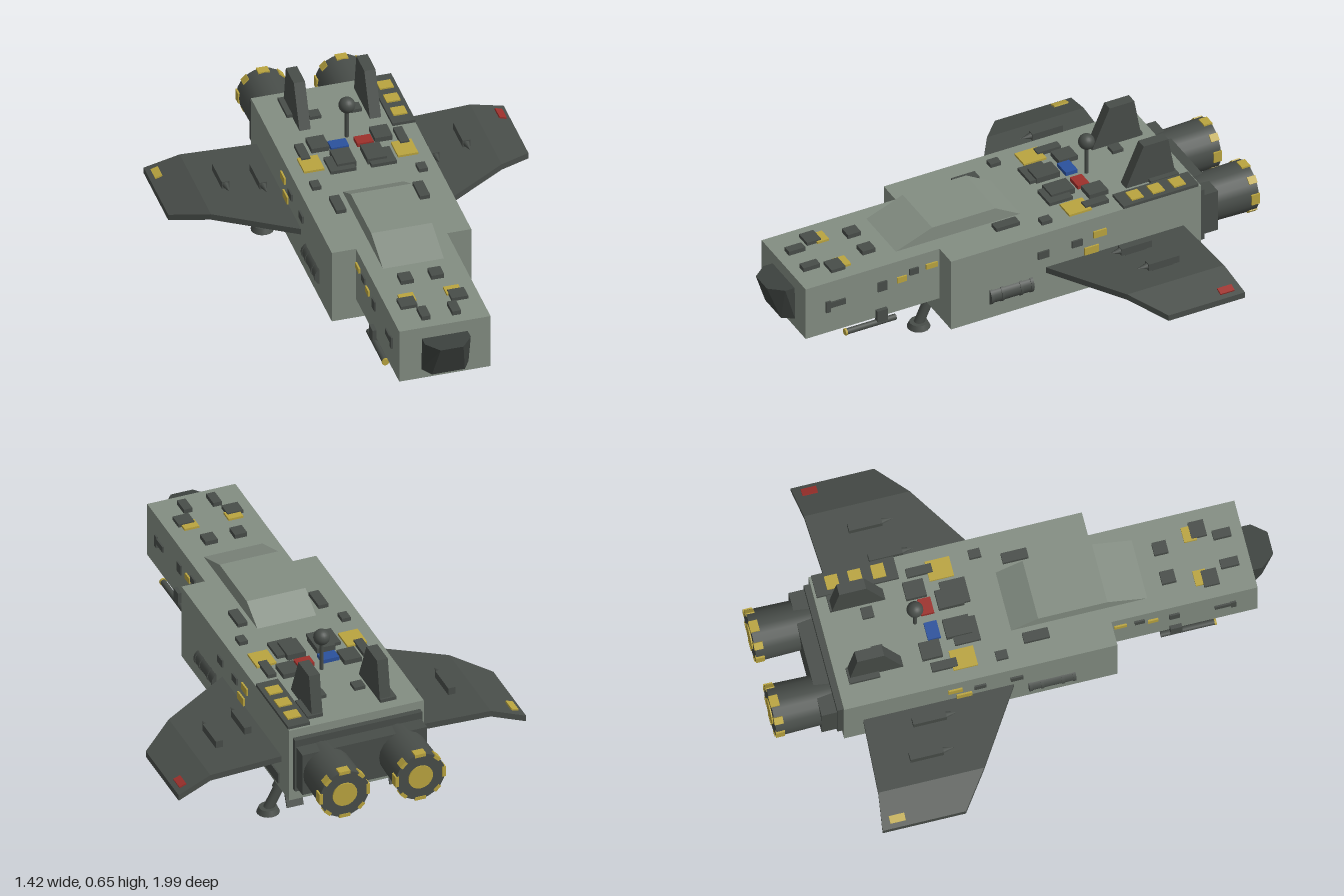
import * as THREE from 'three';

export function createModel() {
  const model = new THREE.Group();
  const material = (name, color) => {
    const m = new THREE.MeshStandardMaterial({ color });
    m.name = name;
    return m;
  };
  const hull = material('hull grey green', 0x838d82);
  const dark = material('dark grey', 0x484d49);
  const glass = material('window grey', 0x3c413e);
  const yellow = material('yellow', 0xb9a43f);
  const red = material('red', 0x9c302b);
  const blue = material('blue', 0x2b519c);

  const add = (name, geometry, mat, x = 0, y = 0, z = 0) => {
    const mesh = new THREE.Mesh(geometry, mat);
    mesh.name = name;
    mesh.position.set(x, y, z);
    model.add(mesh);
    return mesh;
  };
  const box = (name, mat, w, h, d, x, y, z) =>
    add(name, new THREE.BoxGeometry(w, h, d), mat, x, y, z);
  // cylinder whose top points to the front
  const rod = (name, mat, rFront, rBack, length, x, y, z, sides = 16) => {
    const g = new THREE.CylinderGeometry(rFront, rBack, length, sides).rotateX(Math.PI / 2);
    return add(name, g, mat, x, y, z);
  };
  // cylinder between two points
  const strut = (name, mat, radius, a, b) => {
    const from = new THREE.Vector3(...a), to = new THREE.Vector3(...b);
    const dir = to.clone().sub(from);
    const mesh = add(name, new THREE.CylinderGeometry(radius, radius, dir.length(), 12), mat);
    mesh.position.copy(from).add(to).multiplyScalar(0.5);
    mesh.quaternion.setFromUnitVectors(new THREE.Vector3(0, 1, 0), dir.normalize());
    return mesh;
  };
  // flat-faced skin over a row of cross-sections, with both ends closed
  const loft = (sections) => {
    const out = [];
    const tri = (a, b, c) => out.push(...a, ...b, ...c);
    const n = sections[0].length;
    for (let s = 0; s < sections.length - 1; s++) {
      const a = sections[s], b = sections[s + 1];
      for (let i = 0; i < n; i++) {
        const j = (i + 1) % n;
        tri(a[i], a[j], b[j]);
        tri(a[i], b[j], b[i]);
      }
    }
    const first = sections[0], last = sections[sections.length - 1];
    for (let i = 1; i < n - 1; i++) {
      tri(first[0], first[i + 1], first[i]);
      tri(last[0], last[i], last[i + 1]);
    }
    const g = new THREE.BufferGeometry();
    g.setAttribute('position', new THREE.Float32BufferAttribute(out, 3));
    g.computeVertexNormals();
    return g;
  };
  // side profile of [z, y] points, spread from x0 to x1
  const slab = (points, x0, x1) =>
    loft([x0, x1].map((x) => points.map(([z, y]) => [x, y, z])));

  // Fuselage
  box('mainHull', hull, 0.55, 0.315, 1.065, 0, 0.3175, -0.1975);
  box('noseHull', hull, 0.36, 0.23, 0.57, 0, 0.36, 0.62);
  add('canopy', slab([[0.49, 0.475], [-0.04, 0.475], [0.065, 0.535], [0.335, 0.535]], -0.12, 0.12), hull);
  add('noseWindow', loft([
    [[-0.093, 0.9], [-0.093, 0.905], [-0.065, 0.95], [0.065, 0.95], [0.093, 0.905], [0.093, 0.9]]
      .map(([x, z]) => [x, 0.285, z]),
    [[-0.09, 0.9], [-0.09, 0.945], [-0.045, 1], [0.045, 1], [0.09, 0.945], [0.09, 0.9]]
      .map(([x, z]) => [x, 0.425, z]),
  ]), glass);
  box('rearPlate', dark, 0.52, 0.23, 0.025, 0, 0.325, -0.74);
  box('engineMount', dark, 0.51, 0.18, 0.065, 0, 0.32, -0.78);

  // Roof plates on both sides: [material, width, height, depth, x, z]
  const roofPlates = [
    [dark, 0.065, 0.014, 0.12, 0.15, -0.625], [dark, 0.045, 0.014, 0.045, 0.08, -0.55],
    [dark, 0.07, 0.02, 0.08, 0.125, -0.355], [dark, 0.035, 0.016, 0.1, 0.195, -0.32],
    [yellow, 0.08, 0.009, 0.095, 0.185, -0.243], [dark, 0.1, 0.014, 0.1, 0.08, -0.21],
    [dark, 0.075, 0.024, 0.1, 0.06, -0.235], [dark, 0.035, 0.016, 0.045, 0.21, -0.1],
    [dark, 0.04, 0.016, 0.1, 0.165, 0.045], [dark, 0.05, 0.018, 0.055, 0.06, 0.585],
    [yellow, 0.06, 0.009, 0.05, 0.09, 0.705], [dark, 0.065, 0.014, 0.06, 0.1, 0.74],
    [dark, 0.035, 0.018, 0.07, 0.06, 0.825],
  ];
  // Side plates on both sides: [material, height, length, x, y, z]
  const sidePlates = [
    [dark, 0.05, 0.02, 0.18, 0.365, 0.81], [dark, 0.025, 0.065, 0.18, 0.37, 0.77],
    [dark, 0.042, 0.04, 0.18, 0.385, 0.58], [yellow, 0.025, 0.04, 0.18, 0.39, 0.497],
    [dark, 0.028, 0.038, 0.18, 0.41, 0.445], [yellow, 0.022, 0.048, 0.18, 0.412, 0.37],
    [dark, 0.032, 0.048, 0.275, 0.38, -0.057], [dark, 0.03, 0.045, 0.275, 0.385, -0.2],
    [yellow, 0.03, 0.055, 0.275, 0.4, -0.297], [yellow, 0.032, 0.06, 0.275, 0.335, -0.262],
    [dark, 0.045, 0.365, 0.275, 0.203, -0.452],
  ];

  for (const s of [1, -1]) {
    for (const [mat, w, h, d, x, z] of roofPlates)
      box('roofPlate', mat, w, h, d, s * x, 0.475 + h / 2, z);
    for (const [mat, h, d, x, y, z] of sidePlates)
      box('sidePlate', mat, 0.014, h, d, s * x, y, z);

    // Wings, bent down at the tips: [x, middle y, front z, back z]
    const wing = [[0.27, 0.3025, -0.065, -0.655], [0.573, 0.3025, -0.26, -0.672], [0.71, 0.257, -0.365, -0.69]]
      .map(([x, y, front, back]) => [
        [s * x, y - 0.0125, front], [s * x, y - 0.0125, back],
        [s * x, y + 0.0125, back], [s * x, y + 0.0125, front]]);
    add('wing', loft(s > 0 ? wing : wing.reverse()), dark);
    const lamp = box('wingLamp', s > 0 ? red : yellow, 0.03, 0.016, 0.06, s * 0.677, 0.279, -0.625);
    lamp.rotation.z = -s * 0.32;

    // Missiles above and below each wing
    for (const [x, y, z] of [[0.34, 0.34, -0.415], [0.475, 0.34, -0.46], [0.41, 0.265, -0.44], [0.54, 0.265, -0.48]]) {
      box('missileBody', dark, 0.03, 0.03, 0.13, s * x, y, z);
      rod('missileTip', dark, 0, 0.013, 0.045, s * x, y, z + 0.087, 8);
      box('missilePylon', dark, 0.012, 0.025, 0.09, s * x, y > 0.3 ? 0.322 : 0.283, z);
    }

    // Tail fins
    const fin = [[-0.47, 0.475], [-0.68, 0.475], [-0.65, 0.645], [-0.545, 0.645]];
    add('tailFin', slab(fin, s * 0.139 - 0.022, s * 0.139 + 0.022), dark);

    // Side tanks
    rod('sideTank', dark, 0.036, 0.036, 0.17, s * 0.256, 0.255, 0.08);
    for (const z of [-0.005, 0.04, 0.12, 0.165])
      rod('tankBand', dark, 0.039, 0.039, 0.012, s * 0.256, 0.255, z);

    // Guns under the nose
    for (const x of [0.1, 0.185]) {
      rod('gunBarrel', dark, 0.012, 0.012, 0.21, s * x, 0.226, 0.63, 10);
      rod('gunMuzzle', yellow, 0.014, 0.014, 0.008, s * x, 0.226, 0.738, 12);
      box('gunMount', dark, 0.022, 0.055, 0.045, s * x, 0.255, 0.585);
    }

    // Engines with yellow glow and rim tabs
    const ex = s * 0.155, ey = 0.318;
    rod('engine', dark, 0.095, 0.1, 0.24, ex, ey, -0.868, 20);
    rod('engineGlow', yellow, 0.05, 0.05, 0.008, ex, ey, -0.989, 20);
    for (let i = 0; i < 8; i++) {
      const a = (i / 8) * Math.PI * 2;
      const tab = box('rimTab', yellow, 0.014, i % 2 ? 0.03 : 0.045, 0.035,
        ex + Math.cos(a) * 0.096, ey + Math.sin(a) * 0.096, -0.973);
      tab.rotation.z = a;
    }
  }

  // Roof lamp strip on the left, signal plates and mast
  box('lampStrip', dark, 0.09, 0.012, 0.32, 0.23, 0.481, -0.56);
  for (const z of [-0.65, -0.56, -0.47])
    box('stripLamp', yellow, 0.055, 0.008, 0.05, 0.23, 0.489, z);
  box('bluePlate', blue, 0.07, 0.016, 0.05, -0.05, 0.483, -0.33);
  box('redPlate', red, 0.065, 0.016, 0.05, 0.05, 0.483, -0.33);
  add('mast', new THREE.CylinderGeometry(0.008, 0.008, 0.13, 10), dark, 0, 0.54, -0.385);
  add('mastBall', new THREE.SphereGeometry(0.032, 20, 14), dark, 0, 0.62, -0.385);

  // Landing legs: [hip x, hip z, foot x, foot z, door z]
  for (const [hx, hz, fx, fz, dz] of [
    [0, 0.265, 0, 0.33, 0.215], [0.21, -0.545, 0.285, -0.545, -0.61], [-0.21, -0.545, -0.285, -0.545, -0.61]]) {
    strut('leg', dark, 0.02, [hx, 0.16, hz], [fx, 0.015, fz]);
    strut('legSleeve', dark, 0.026, [hx, 0.16, hz], [hx + (fx - hx) * 0.45, 0.095, hz + (fz - hz) * 0.45]);
    add('foot', new THREE.CylinderGeometry(0.035, 0.045, 0.022, 16), dark, fx, 0.011, fz);
    box('legSocket', dark, 0.07, 0.02, 0.07, hx, 0.152, hz);
    for (const side of [-1, 1])
      box('socketMark', yellow, 0.05, 0.012, 0.009, hx, 0.15, hz + side * 0.039);
    const door = box('gearDoor', dark, 0.068, 0.11, 0.008, hx, 0.108, dz);
    door.rotation.x = 0.42;
  }
  return model;
}
